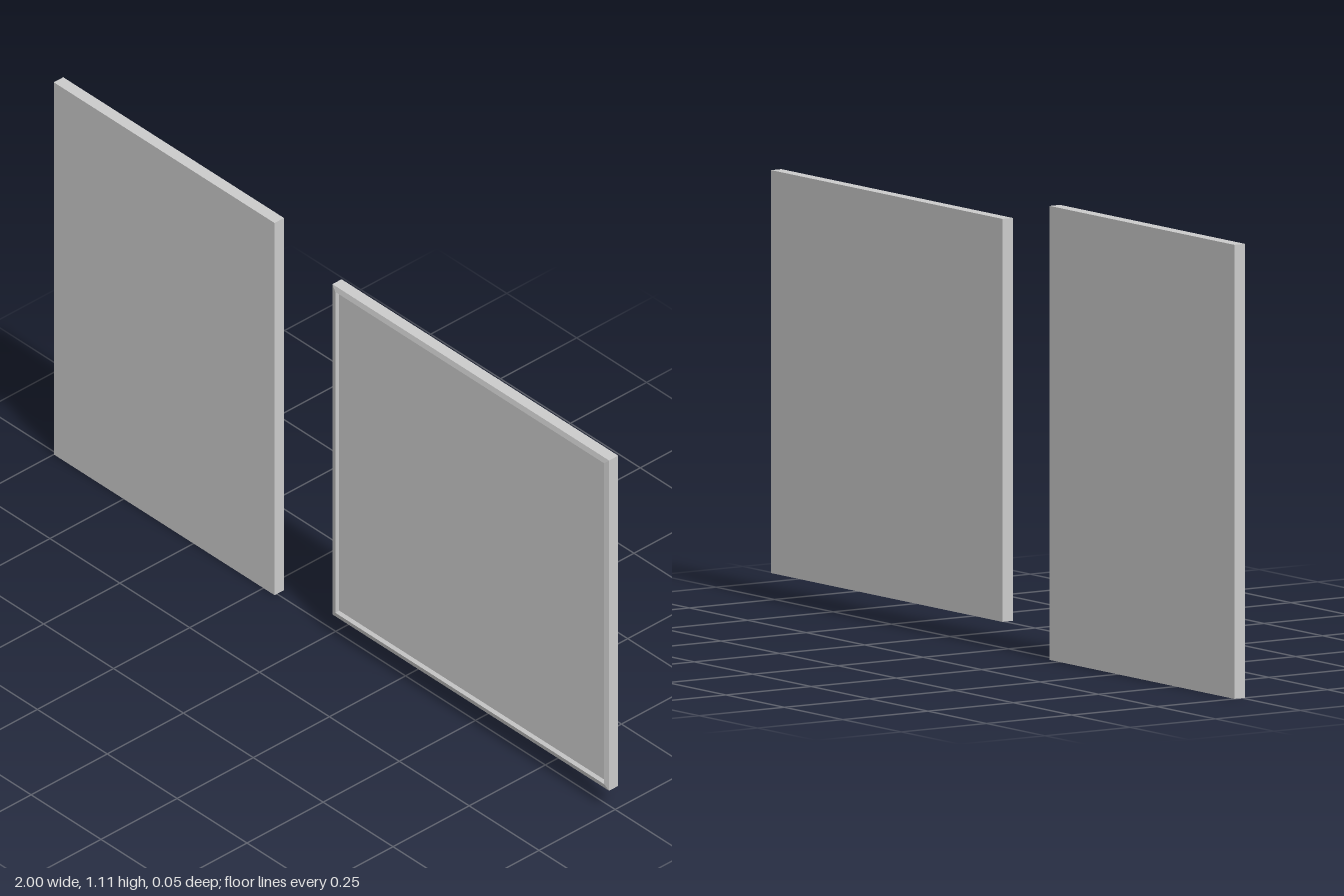
import * as THREE from 'three';

export function createModel() {
  const group = new THREE.Group();
  const material = new THREE.MeshStandardMaterial({ color: 0xcccccc, flatShading: true });

  // Plain tall slab
  const slab = new THREE.Mesh(new THREE.BoxGeometry(0.79, 1.11, 0.031), material);
  slab.name = 'plainPanel';
  slab.position.set(-0.605, 0.555, -0.0075);
  group.add(slab);

  // Framed board: a four-sided lathe of [inset from the edge, depth], laid to face front
  const half = 0.4925;
  const profile = [
    [half, -0.01],    // back centre
    [0, -0.01],       // back edge
    [0, 0.02],        // front edge
    [0.014, 0.0235],  // frame crest
    [0.02, 0.016],    // inner lip
    [half, 0.016],    // recessed face centre
  ].map(([inset, z]) => new THREE.Vector2((half - inset) * Math.SQRT2, z));
  const geometry = new THREE.LatheGeometry(profile, 4)
    .rotateY(Math.PI / 4)
    .rotateX(Math.PI / 2)
    .scale(0.99 / 0.985, 1, 1);
  const board = new THREE.Mesh(geometry, material);
  board.name = 'framedPanel';
  board.position.set(0.505, 0.558, 0);
  group.add(board);

  return group;
}
